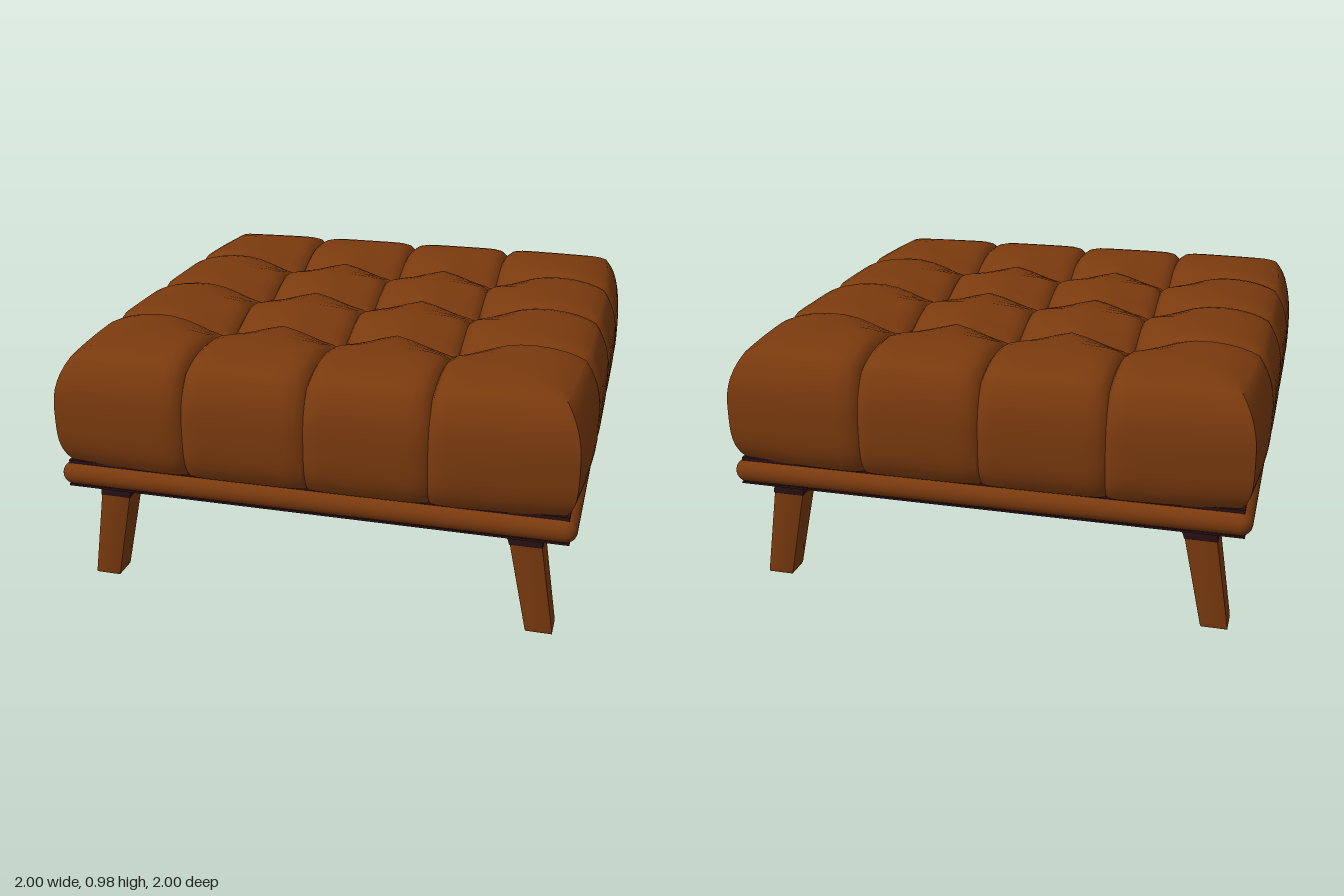
import * as THREE from 'three';
import { mergeVertices, toCreasedNormals } from 'three/addons/utils/BufferGeometryUtils.js';
import { RoundedBoxGeometry } from 'three/addons/geometries/RoundedBoxGeometry.js';

const SEAMS = [-1, -0.46, 0, 0.45, 1];
const CELL_SEGMENTS = 12;

// Move every vertex by a rule, then rebuild normals with sharp creases kept
function deform(geometry, rule, crease = 0.75) {
  geometry.deleteAttribute('normal');
  geometry.deleteAttribute('uv');
  geometry.clearGroups();
  const p = geometry.attributes.position;
  const v = new THREE.Vector3();
  for (let i = 0; i < p.count; i++) {
    rule(v.fromBufferAttribute(p, i));
    p.setXYZ(i, v.x, v.y, v.z);
  }
  return toCreasedNormals(mergeVertices(geometry, 1e-5), crease);
}

// Map even grid steps onto the four cells, packing lines close to the seams
function packToSeams(x) {
  const q = (x + 1) * 2;
  const k = Math.min(3, Math.floor(q + 1e-5));
  const e = (1 - Math.cos(Math.PI * (q - k))) / 2;
  return SEAMS[k] + (SEAMS[k + 1] - SEAMS[k]) * e;
}

const seamDistance = (x) => Math.min(...SEAMS.slice(1, 4).map((s) => Math.abs(x - s)));
const crease = (x) => Math.exp(-seamDistance(x) / 0.02);
const dimple = (x) => Math.exp(-((seamDistance(x) / 0.17) ** 2));
const outer = (x) => Math.max(0, (Math.abs(x) - 0.45) / 0.55);

// Four by four tufted cushion with bulging sides and a domed top
function cushionGeometry() {
  const n = CELL_SEGMENTS * 4;
  return deform(new THREE.BoxGeometry(2, 1, 2, n, 14, n), (v) => {
    const t = v.y + 0.5;
    const x = packToSeams(v.x);
    const z = packToSeams(v.z);
    const edge = Math.max(Math.abs(x), Math.abs(z));
    const groove = 0.035 * Math.max(crease(x), crease(z)) + 0.075 * dimple(x) * dimple(z);
    const top = 0.982 - 0.05 * edge ** 10 - groove;
    const k = 2 * t - 1;
    const inset = k > 0 ? 0.06 * k ** 2.5 : 0.04 * (-k) ** 4;
    const shift = (a, b) =>
      a - Math.sign(a) * outer(a) * (inset + 0.03 * outer(b) ** 2 + 0.02 * crease(b));
    v.set(shift(x, z), 0.515 + t * (top - 0.515), shift(z, x));
  });
}

// Tapered, outward-leaning leg section between two heights
function legGeometry(y0, y1, grow, flare) {
  const h = y1 - y0;
  return deform(new RoundedBoxGeometry(1, h, 1, 3, 0.018), (v) => {
    const y = v.y + (y0 + y1) / 2;
    const t = y / 0.42;
    const f = flare * Math.max(0, (y - y0) / h) ** 3;
    // Only the inner side flares under the frame
    const inX = v.x < 0 ? f : 0;
    const inZ = v.z < 0 ? f : 0;
    v.set(
      0.858 - 0.075 * t + v.x * (0.1 + 0.02 * t + grow + inX),
      y,
      0.838 - 0.009 * t + v.z * (0.095 + 0.02 * t + grow + inZ)
    );
  }, 0.6);
}

export function createModel() {
  const model = new THREE.Group();
  const brown = new THREE.MeshStandardMaterial({ color: 0x7a3a0e });
  brown.name = 'saddle brown';
  const dark = new THREE.MeshStandardMaterial({ color: 0x2a1114 });
  dark.name = 'dark brown';

  const add = (parent, name, geometry, material, x = 0, y = 0, z = 0) => {
    const mesh = new THREE.Mesh(geometry, material);
    mesh.name = name;
    mesh.position.set(x, y, z);
    parent.add(mesh);
    return mesh;
  };

  add(model, 'cushion', cushionGeometry(), brown);

  // Frame with rounded rim, shadow gap above and dark panel below
  add(model, 'frame', new RoundedBoxGeometry(1.95, 0.09, 1.95, 5, 0.044), brown, 0, 0.465, 0);
  add(model, 'gap', new THREE.BoxGeometry(1.89, 0.02, 1.89), dark, 0, 0.51, 0);
  add(model, 'underside', new THREE.BoxGeometry(1.9, 0.008, 1.9), dark, 0, 0.418, 0);

  // Four legs: each corner is turned or mirrored by moving vertices
  const mirrored = (geometry, sx, sz) => {
    const g = geometry.clone().scale(sx, 1, sz);
    if (sx * sz < 0) {
      // Restore the outward winding after a single mirror
      for (const attribute of Object.values(g.attributes)) {
        const a = attribute.array;
        for (let i = 0; i < a.length; i += 9) {
          for (let j = 3; j < 6; j++) [a[i + j], a[i + j + 3]] = [a[i + j + 3], a[i + j]];
        }
      }
    }
    return g;
  };
  const post = legGeometry(0.004, 0.43, 0, 0);
  const collar = legGeometry(0.355, 0.44, 0.006, 0.07);
  for (const sx of [1, -1]) {
    for (const sz of [1, -1]) {
      const leg = new THREE.Group();
      leg.name = (sz > 0 ? 'front' : 'back') + (sx > 0 ? 'Left' : 'Right') + 'Leg';
      add(leg, 'post', mirrored(post, sx, sz), brown);
      add(leg, 'collar', mirrored(collar, sx, sz), dark);
      add(leg, 'footPad', new THREE.BoxGeometry(0.08, 0.008, 0.075), dark, sx * 0.858, 0.004, sz * 0.838);
      model.add(leg);
    }
  }
  return model;
}
